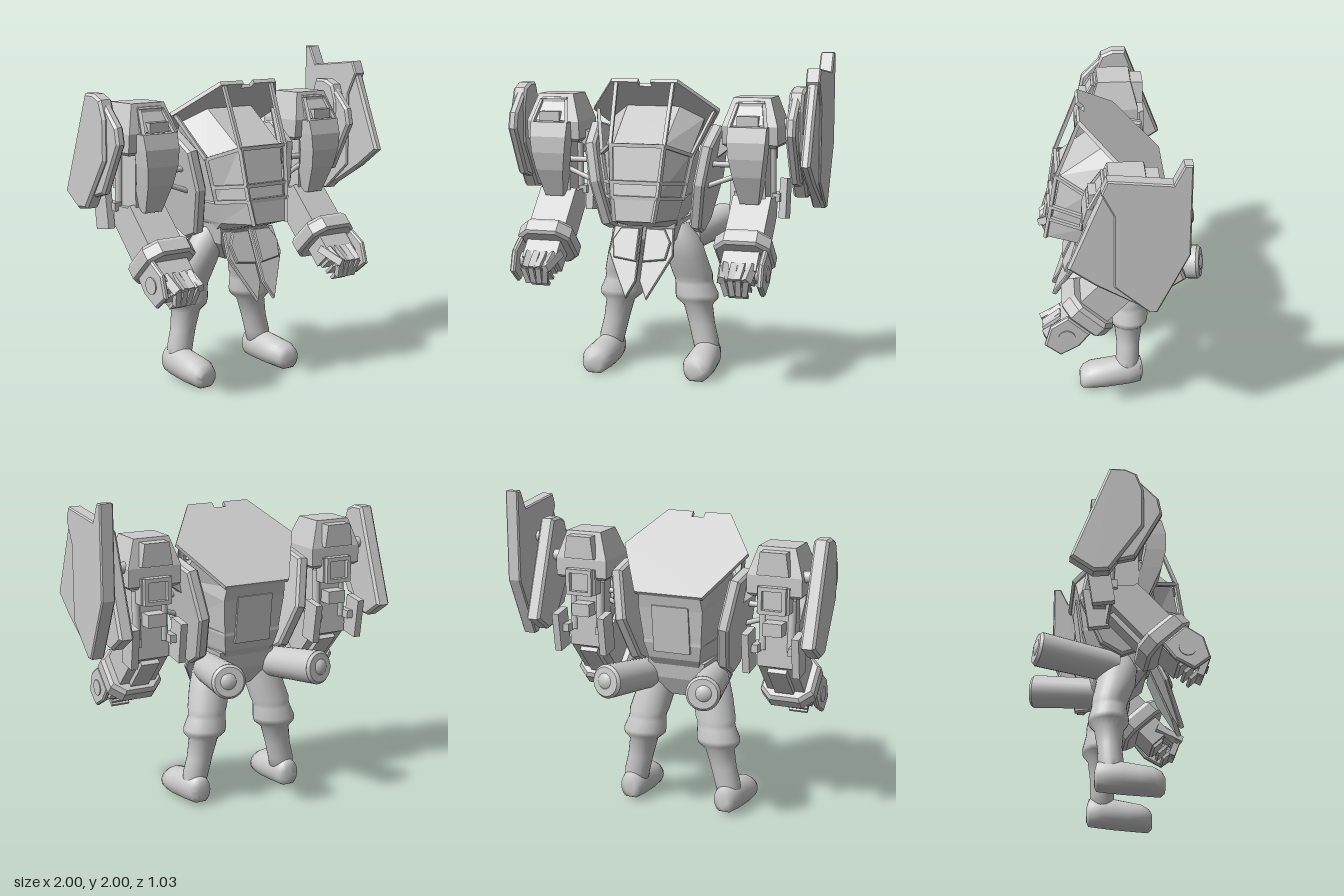
import * as THREE from 'three';

const flat = new THREE.MeshStandardMaterial({ color: 0xcccccc, flatShading: true, side: THREE.DoubleSide });
const smooth = new THREE.MeshStandardMaterial({ color: 0xcccccc, side: THREE.DoubleSide });
const V = (a) => new THREE.Vector3(...a);

function add(parent, name, geo, pos = [0, 0, 0], rot = [0, 0, 0], mat = flat) {
  const m = new THREE.Mesh(geo, mat);
  m.name = name;
  m.position.set(...pos);
  m.rotation.set(...rot);
  parent.add(m);
  return m;
}
const box = (p, name, size, pos, rot) => add(p, name, new THREE.BoxGeometry(...size), pos, rot);

// Bar of square section, or rod of round section, between two points
function bar(p, name, a, b, w, h = w) {
  const m = box(p, name, [w, h, V(a).distanceTo(V(b)) + w * 0.5], V(a).lerp(V(b), 0.5).toArray());
  m.quaternion.setFromRotationMatrix(new THREE.Matrix4().lookAt(V(a), V(b), new THREE.Vector3(0, 1, 0)));
}
function rod(p, name, a, b, r0, r1 = r0) {
  const d = V(b).sub(V(a));
  const m = add(p, name, new THREE.CylinderGeometry(r1, r0, d.length(), 24), V(a).lerp(V(b), 0.5).toArray(), [0, 0, 0], smooth);
  m.quaternion.setFromUnitVectors(new THREE.Vector3(0, 1, 0), d.normalize());
}

// Closed skin through rings of equal point count, always facing outward
function loft(rings) {
  const n = rings[0].length, pts = rings.flat(), idx = [];
  for (let r = 0; r < rings.length - 1; r++)
    for (let i = 0; i < n; i++) {
      const a = r * n + i, b = r * n + (i + 1) % n;
      idx.push(a, b, a + n, b, b + n, a + n);
    }
  const last = (rings.length - 1) * n;
  for (let i = 1; i < n - 1; i++) idx.push(0, i + 1, i, last, last + i, last + i + 1);
  let vol = 0;
  for (let i = 0; i < idx.length; i += 3)
    vol += V(pts[idx[i]]).dot(V(pts[idx[i + 1]]).cross(V(pts[idx[i + 2]])));
  if (vol < 0) idx.reverse();
  const g = new THREE.BufferGeometry();
  g.setAttribute('position', new THREE.Float32BufferAttribute(pts.flat(), 3));
  g.setIndex(idx);
  g.computeVertexNormals();
  return g;
}

// Chamfered slab; outline is given as [z, y], thickness runs along x
function slab(outline, t, bevel = 0.015) {
  const shape = new THREE.Shape(outline.map(([z, y]) => new THREE.Vector2(z, y)));
  const g = new THREE.ExtrudeGeometry(shape, { depth: t - 2 * bevel, bevelThickness: bevel, bevelSize: bevel, bevelOffset: -bevel, bevelSegments: 1 });
  return g.translate(0, 0, -(t - 2 * bevel) / 2).rotateY(-Math.PI / 2);
}

const ellipse = (n, f) => Array.from({ length: n }, (_, i) => f(Math.cos(i / n * Math.PI * 2), Math.sin(i / n * Math.PI * 2)));
const rect = (y, x, z0, z1) => [[-x, y, z0], [x, y, z0], [x, y, z1], [-x, y, z1]];

// Mirror a finished group across x = 0, keeping faces outward
function mirrored(src, name) {
  const out = new THREE.Group();
  out.name = name;
  src.updateMatrixWorld(true);
  src.traverse((o) => {
    if (!o.isMesh) return;
    const g = o.geometry.index ? o.geometry.toNonIndexed() : o.geometry.clone();
    g.applyMatrix4(o.matrixWorld);
    for (const k of ['position', 'normal']) {
      const a = g.attributes[k].array;
      for (let i = 0; i < a.length; i += 3) a[i] = -a[i];
      for (let i = 0; i < a.length; i += 9)
        for (let j = 0; j < 3; j++) [a[i + 3 + j], a[i + 6 + j]] = [a[i + 6 + j], a[i + 3 + j]];
    }
    add(out, o.name, g, [0, 0, 0], [0, 0, 0], o.material);
  });
  return out;
}

function buildBody(p) {
  // Cabin hull: six-sided rings of front, side and back corners
  const ring = (...c) => [...c, ...c.slice().reverse().map(([x, y, z]) => [-x, y, z])];
  add(p, 'cabinHull', loft([
    ring([0.17, 1.68, 0.06], [0.3, 1.6, -0.04], [0.2, 1.42, -0.25]),
    ring([0.16, 1.46, 0.36], [0.275, 1.39, 0.2], [0.21, 1.33, -0.23]),
    ring([0.14, 1.16, 0.415], [0.23, 1.13, 0.23], [0.19, 1.12, -0.2]),
    ring([0.145, 1.14, 0.44], [0.24, 1.12, 0.24], [0.19, 1.1, -0.2]),
    ring([0.125, 1.01, 0.455], [0.21, 1.0, 0.25], [0.17, 1.0, -0.17]),
    ring([0.1, 0.95, 0.25], [0.18, 0.94, 0.16], [0.14, 0.93, -0.12])]));
  // Tilted roof with a notch in the front edge
  const roof = new THREE.Shape([[-0.22, -0.363], [0.22, -0.363], [0.41, 0], [0.21, 0.298], [0.04, 0.298], [0.04, 0.255],
    [-0.04, 0.255], [-0.04, 0.298], [-0.21, 0.298], [-0.41, 0]].map((q) => new THREE.Vector2(...q)));
  add(p, 'roof', new THREE.ExtrudeGeometry(roof, { depth: 0.025, bevelEnabled: false }), [0, 1.66, 0.01], [0.88, 0, 0]);
  // Window frame
  const top = [0.18, 1.83, 0.24], mid = [0.17, 1.46, 0.385], rail = [0.155, 1.24, 0.42], low = [0.145, 1.15, 0.435], end = [0.125, 1.01, 0.46];
  const sTop = [0.38, 1.65, 0.02], sMid = [0.29, 1.39, 0.21], sRail = [0.255, 1.22, 0.235], sLow = [0.24, 1.13, 0.24];
  const mx = ([x, y, z]) => [-x, y, z];
  const bars = [[top, mid], [mid, low], [low, end], [sTop, sMid], [sMid, sLow], [mid, sMid], [low, sLow], [rail, sRail]];
  for (const [a, b] of bars) {
    bar(p, 'windowFrame', a, b, 0.022);
    bar(p, 'windowFrame', mx(a), mx(b), 0.022);
  }
  for (const a of [mid, rail, low]) bar(p, 'windowFrame', a, mx(a), 0.022);
  // Back panel and pelvis
  box(p, 'backPanel', [0.24, 0.3, 0.04], [0, 1.2, -0.205], [-0.12, 0, 0]);
  add(p, 'pelvis', loft([rect(0.98, 0.19, -0.14, 0.22), rect(0.86, 0.17, -0.12, 0.2), rect(0.74, 0.06, -0.06, 0.1)]));
}

function buildLeg(p) {
  // Trouser leg, gathered at the knee: y, x, z, rx, rz
  const leg = [[0.95, 0.13, 0.01, 0.08, 0.09], [0.86, 0.165, 0.015, 0.12, 0.12], [0.74, 0.195, 0, 0.125, 0.12], [0.62, 0.225, -0.035, 0.128, 0.11],
    [0.585, 0.232, -0.04, 0.12, 0.105], [0.56, 0.235, -0.043, 0.122, 0.107], [0.49, 0.25, -0.047, 0.138, 0.122], [0.46, 0.253, -0.047, 0.134, 0.118], [0.42, 0.26, -0.045, 0.092, 0.088],
    [0.3, 0.285, -0.042, 0.083, 0.073], [0.2, 0.31, -0.038, 0.083, 0.075], [0.08, 0.325, -0.03, 0.07, 0.07]];
  add(p, 'leg', loft(leg.map(([y, x, z, a, b]) => ellipse(24, (c, s) => [x + a * c, y, z + b * s]))), [0, 0, 0], [0, 0, 0], smooth);
  // Boot: z, centre y, half width, half height, sole y
  const boot = [[-0.133, 0.09, 0.03, 0.05, 0.04], [-0.12, 0.1, 0.07, 0.09, 0.025], [-0.04, 0.1, 0.088, 0.1, 0.02], [0.03, 0.095, 0.092, 0.1, 0.014],
    [0.12, 0.085, 0.098, 0.094, 0.01], [0.2, 0.08, 0.098, 0.086, 0.004], [0.25, 0.065, 0.08, 0.075, 0], [0.27, 0.06, 0.045, 0.05, 0.005]];
  add(p, 'boot', loft(boot.map(([z, y, a, b, f]) => ellipse(24, (c, s) => [0.325 + 0.03 * z + a * c, Math.max(f, y + b * s), z]))), [0, 0, 0], [0, 0, 0], smooth);
  // Rear thruster with shallow dome
  const a = [0.2, 0.855, 0], b = [0.313, 0.905, -0.47], e = [0.317, 0.907, -0.487];
  rod(p, 'thruster', a, b, 0.095, 0.105);
  rod(p, 'thrusterRim', b, e, 0.105, 0.09);
  add(p, 'thrusterDome', new THREE.SphereGeometry(0.08, 20, 12), [0.308, 0.903, -0.425], [0, 0, 0], smooth);
  // Hip skirt: two overlapping plates flaring forward
  const skirt = (pts, name, y, z) => add(p, name, new THREE.ExtrudeGeometry(new THREE.Shape(pts.map((q) => new THREE.Vector2(...q))),
    { depth: 0.018, bevelSize: 0.006, bevelOffset: -0.006, bevelThickness: 0.006, bevelSegments: 1 }), [0, y, z], [-0.4, 0, 0]);
  skirt([[0.012, 0], [0.19, 0], [0.205, -0.17], [0.065, -0.45], [0.012, -0.34]], 'skirtPlate', 0.94, 0.235);
  skirt([[0.02, -0.01], [0.14, -0.01], [0.185, -0.09], [0.165, -0.2], [0.02, -0.22]], 'skirtOverlay', 0.945, 0.255);
}

function buildArm(p) {
  const arm = new THREE.Group();
  arm.name = 'arm';
  arm.position.x = 0.633;
  p.add(arm);
  // Shoulder block
  add(arm, 'shoulder', loft([rect(1.74, 0.115, -0.11, 0.1), rect(1.57, 0.172, -0.155, 0.16), rect(1.46, 0.172, -0.155, 0.15), rect(1.44, 0.15, -0.13, 0.12)]));
  add(arm, 'shoulderRidge', loft([rect(1.72, 0.08, -0.19, 0.12), rect(1.58, 0.1, -0.19, 0.2)]));
  bar(arm, 'shoulderWindowFrame', [-0.08, 1.7, 0.13], [0.08, 1.7, 0.13], 0.02);
  for (const s of [-1, 1]) bar(arm, 'shoulderWindowFrame', [s * 0.08, 1.7, 0.13], [s * 0.11, 1.57, 0.21], 0.022);
  box(arm, 'shoulderWindow', [0.13, 0.06, 0.05], [0, 1.605, 0.19]);
  // Curved tapering guard in front
  add(arm, 'armGuard', loft([[1.57, 0.12, 0.225], [1.48, 0.118, 0.25], [1.38, 0.108, 0.25], [1.27, 0.09, 0.225], [1.1, 0.058, 0.15]]
    .map(([y, x, z]) => rect(y, x, z - 0.12, z))));
  // Upper arm machinery
  box(arm, 'upperArm', [0.17, 0.36, 0.18], [0, 1.28, 0]);
  box(arm, 'rearHousing', [0.2, 0.16, 0.08], [0, 1.43, -0.13]);
  for (const s of [-1, 1]) {
    box(arm, 'rearFrame', [0.025, 0.16, 0.05], [s * 0.075, 1.43, -0.175]);
    box(arm, 'rearFrame', [0.17, 0.025, 0.05], [0, 1.43 + s * 0.07, -0.175]);
    box(arm, 'elbowPlate', [0.045, 0.25, 0.13], [s * 0.157, 1.105, -0.14], [-0.15, 0, 0]);
    box(arm, 'elbowBracket', [0.05, 0.05, 0.12], [s * 0.12, 1.12, -0.1]);
    rod(arm, 'piston', [s * 0.09, 1.42, -0.07], [s * 0.09, 1.1, -0.08], 0.025);
  }
  box(arm, 'rearBlock', [0.12, 0.08, 0.1], [0, 1.25, -0.13]);
  box(arm, 'elbow', [0.24, 0.13, 0.17], [0, 1.06, 0]);

  // Forearm, hanging forward and down
  const fore = new THREE.Group();
  fore.name = 'forearm';
  fore.position.set(0, 1.05, 0.02);
  fore.rotation.x = -0.75;
  arm.add(fore);
  box(fore, 'forearmBlock', [0.24, 0.33, 0.21], [0, -0.135, 0]);
  box(fore, 'forearmRail', [0.12, 0.24, 0.05], [0, -0.12, -0.11]);
  const oct = (y, k) => [[0.1, 0.17], [0.173, 0.1], [0.173, -0.1], [0.1, -0.17], [-0.1, -0.17], [-0.173, -0.1], [-0.173, 0.1], [-0.1, 0.17]].map(([x, z]) => [x * k, y, z * k]);
  add(fore, 'wristCollar', loft([oct(-0.25, 0.9), oct(-0.275, 1), oct(-0.345, 1), oct(-0.36, 0.9)]));
  // Hand with outer guard, curled fingers and thumb
  box(fore, 'palm', [0.22, 0.14, 0.15], [0, -0.42, 0.01]);
  add(fore, 'handGuard', slab([[-0.08, -0.36], [0.1, -0.36], [0.13, -0.48], [0.07, -0.6], [-0.05, -0.59], [-0.09, -0.47]], 0.035, 0.01), [0.148, 0, 0.01]);
  rod(fore, 'guardPivot', [0.1, -0.47, 0.02], [0.172, -0.47, 0.02], 0.05);
  for (let i = 0; i < 4; i++) {
    const x = -0.085 + i * 0.055;
    bar(fore, 'fingerBase', [x, -0.46, 0.07], [x * 0.85, -0.57, 0.09], 0.04, 0.05);
    bar(fore, 'fingerTip', [x * 0.85, -0.57, 0.09], [x * 0.65, -0.61, 0.01], 0.034, 0.04);
  }
  for (let i = 0; i < 3; i++) box(fore, 'knuckle', [0.17 - i * 0.025, 0.02, 0.08], [0, -0.5 - i * 0.045, -0.02]);
  bar(fore, 'thumb', [-0.11, -0.43, 0.04], [-0.08, -0.58, 0.11], 0.036, 0.045);

  // Outer arm plate leaning back, with its pivot
  add(p, 'armPlate', slab([[0.06, 1.77], [-0.01, 1.8], [-0.1, 1.8], [-0.325, 1.2], [-0.19, 1.11], [-0.1, 1.12], [0.1, 1.42], [0.1, 1.66]], 0.092), [0.896, 0, 0]);
  add(p, 'armPlateEdge', slab([[0.07, 1.74], [0.19, 1.62], [0.21, 1.52], [0.05, 1.22], [-0.1, 1.18], [0, 1.6]], 0.06), [0.89, 0, 0]);
  rod(p, 'platePivot', [0.78, 1.57, -0.08], [0.86, 1.57, -0.08], 0.035);

  // Slanted cabin side panel and links to the arm
  add(p, 'sidePanel', slab([[0.2, 0.22], [0.03, 0.34], [-0.17, 0.3], [-0.23, 0], [-0.1, -0.27], [0.03, -0.34], [0.14, -0.3], [0.23, -0.02]], 0.075), [0.338, 1.23, 0], [0, 0, -0.17]);
  rod(p, 'linkRod', [0.36, 1.33, 0.1], [0.56, 1.33, 0.08], 0.018);
  rod(p, 'linkRod', [0.34, 1.19, 0.12], [0.56, 1.27, 0.08], 0.016);
  bar(p, 'shoulderBracket', [0.38, 1.4, 0], [0.5, 1.49, 0], 0.07, 0.08);
}

export function createModel() {
  const model = new THREE.Group();
  model.name = 'walker';
  const body = new THREE.Group();
  body.name = 'body';
  buildBody(body);
  const left = new THREE.Group();
  left.name = 'leftSide';
  buildLeg(left);
  buildArm(left);
  const centre = new THREE.Group();
  centre.name = 'figure';
  centre.add(body, mirrored(left, 'rightSide'), left);
  centre.position.x = -0.054;
  model.add(centre);

  // Horned shield carried on the left arm
  add(model, 'shield', slab([[0.127, 1.92], [0.16, 1.84], [0.09, 1.7], [0.09, 1.24], [-0.11, 1.06], [-0.153, 1.06], [-0.333, 1.44], [-0.333, 2], [-0.286, 2], [-0.23, 1.885]], 0.085, 0.008), [0.957, 0, 0]);
  add(model, 'shieldFront', slab([[0.15, 1.84], [0.24, 1.63], [0.35, 1.36], [0.19, 1.24], [-0.1, 1.07], [0.05, 1.7]], 0.06), [0.957, 0, 0]);
  rod(model, 'shieldMount', [0.86, 1.68, -0.08], [0.93, 1.68, -0.08], 0.035);
  return model;
}
